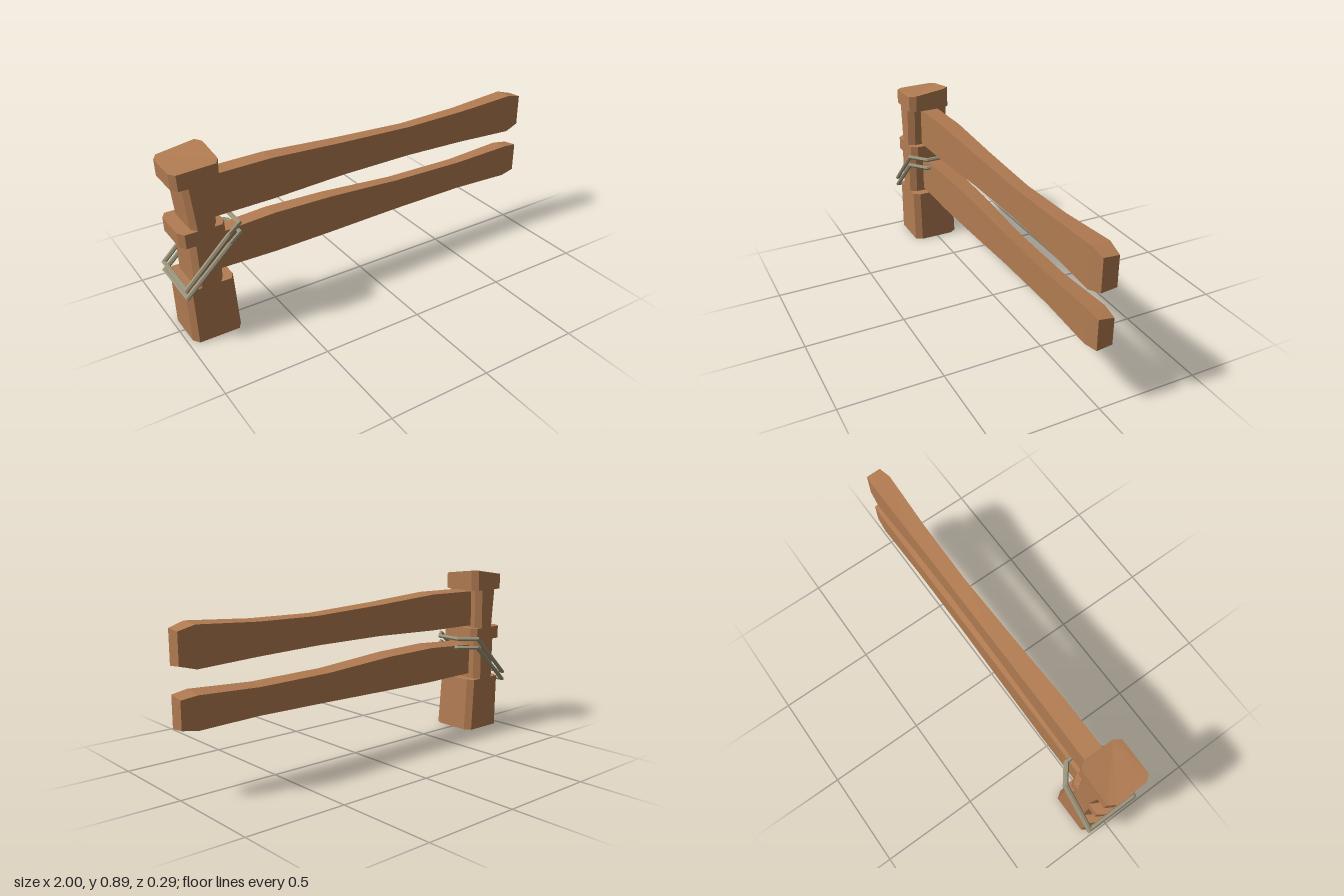
import * as THREE from 'three';

// Flat-shaded skin over matching rings, counter-clockwise seen from the last ring
function loft(rings, caps = true) {
  const out = [];
  const tri = (a, b, c) => [a, b, c].forEach((p) => out.push(p.x, p.y, p.z));
  for (let k = 0; k < rings.length - 1; k++) {
    const r = rings[k], s = rings[k + 1], n = r.length;
    for (let i = 0; i < n; i++) {
      const j = (i + 1) % n;
      tri(r[i], r[j], s[j]);
      tri(r[i], s[j], s[i]);
    }
  }
  if (caps) {
    const a = rings[0], b = rings[rings.length - 1];
    for (let i = 1; i < a.length - 1; i++) {
      tri(a[0], a[i + 1], a[i]);
      tri(b[0], b[i], b[i + 1]);
    }
  }
  const g = new THREE.BufferGeometry();
  g.setAttribute('position', new THREE.Float32BufferAttribute(out, 3));
  g.computeVertexNormals();
  return g;
}

const V = (x, y, z) => new THREE.Vector3(x, y, z);

// Rectangle with cut corners, lying across the post
function postRing(y, x0, x1, z0, z1, cx = 0.022, cz = 0.034) {
  return [
    V(x1, y, z1 - cz), V(x1, y, z0 + cz), V(x1 - cx, y, z0), V(x0 + cx, y, z0),
    V(x0, y, z0 + cz), V(x0, y, z1 - cz), V(x0 + cx, y, z1), V(x1 - cx, y, z1),
  ];
}

// Post: three thick blocks joined by two narrower notched lengths
function postGeometry() {
  const levels = [ // y, left x, right x
    [0, -0.975, -0.733], [0.283, -0.982, -0.75],
    [0.283, -0.935, -0.8], [0.5, -0.94, -0.8],
    [0.5, -0.984, -0.765], [0.568, -0.986, -0.768],
    [0.568, -0.925, -0.805], [0.776, -0.945, -0.8],
    [0.776, -0.99, -0.77], [0.86, -0.993, -0.768],
  ];
  const rings = levels.map(([y, x0, x1]) => {
    const t = y / 0.86;
    return postRing(y, x0, x1, -0.121 + 0.009 * t, 0.128 - 0.013 * t);
  });
  // Slanted top, highest at the back corner beside the rails
  rings[rings.length - 1].forEach((p) => {
    const u = (p.x + 0.993) / 0.225, w = (0.115 - p.z) / 0.227;
    p.y = 0.85 + 0.011 * u + 0.024 * w * u + 0.004 * w;
  });
  return loft(rings);
}

// Rail: sections of x, bottom y, top y, back z, front z
function railGeometry(sections, tilt) {
  return loft(sections.map(([x, y0, y1, z0, z1]) => [
    V(x, y0 + 0.008, z0), V(x, y1 - tilt, z0), V(x, y1, z1), V(x, y0, z1),
  ]));
}

// Mitred hexagonal cord round a closed path
function cordGeometry(points, radius) {
  const n = points.length;
  const dir = points.map((p, i) => points[(i + 1) % n].clone().sub(p).normalize());
  const rings = [];
  for (let i = 0; i < n; i++) {
    const d = dir[i];
    const side = V(0, 1, 0).cross(d).normalize();
    const up = d.clone().cross(side);
    [i, (i + 1) % n].forEach((k) => {
      const b = dir[k].clone().add(dir[(k + n - 1) % n]).normalize();
      const ring = [];
      for (let s = 0; s < 6; s++) {
        const a = (s / 6) * Math.PI * 2;
        const o = side.clone().multiplyScalar(radius * Math.cos(a)).addScaledVector(up, radius * Math.sin(a));
        o.addScaledVector(d, -o.dot(b) / d.dot(b));
        ring.push(o.add(points[k]));
      }
      rings.push(ring);
    });
  }
  return loft(rings, false);
}

export function createModel() {
  const wood = new THREE.MeshStandardMaterial({ color: 0xb27c52 });
  wood.name = 'wood';
  const cord = new THREE.MeshStandardMaterial({ color: 0x9c957c });
  cord.name = 'cord';

  const model = new THREE.Group();
  model.name = 'fenceEnd';
  const add = (name, geometry, material) => {
    const mesh = new THREE.Mesh(geometry, material);
    mesh.name = name;
    model.add(mesh);
  };

  add('post', postGeometry(), wood);

  add('upperRail', railGeometry([
    [-0.87, 0.57, 0.773, -0.052, 0.046],
    [-0.5, 0.575, 0.78, -0.05, 0.046],
    [-0.12, 0.588, 0.758, -0.045, 0.038],
    [0.27, 0.588, 0.742, -0.041, 0.032],
    [0.6, 0.58, 0.75, -0.044, 0.035],
    [0.92, 0.568, 0.772, -0.05, 0.045],
    [1, 0.59, 0.75, -0.042, 0.034],
  ], 0.006), wood);

  add('lowerRail', railGeometry([
    [-0.87, 0.3, 0.477, -0.05, 0.046],
    [-0.5, 0.295, 0.5, -0.05, 0.047],
    [-0.2, 0.298, 0.493, -0.047, 0.043],
    [0.2, 0.303, 0.466, -0.042, 0.034],
    [0.6, 0.308, 0.46, -0.043, 0.035],
    [0.92, 0.301, 0.476, -0.048, 0.043],
    [1, 0.313, 0.465, -0.041, 0.035],
  ], 0.012), wood);

  // Two cords slung from the back of the post up and over the lower rail
  [['upperCord', 0.517, 0.306], ['lowerCord', 0.468, 0.264]].forEach(([name, hi, lo]) => {
    const half = [[-0.988, lo, 0.135], [-0.77, hi, 0.135], [-0.687, hi, 0.066]];
    const front = half.map(([x, y, z]) => V(x, y, z));
    const back = half.map(([x, y, z]) => V(x, y, -z)).reverse();
    add(name, cordGeometry([...front, ...back], 0.011), cord);
  });

  return model;
}
